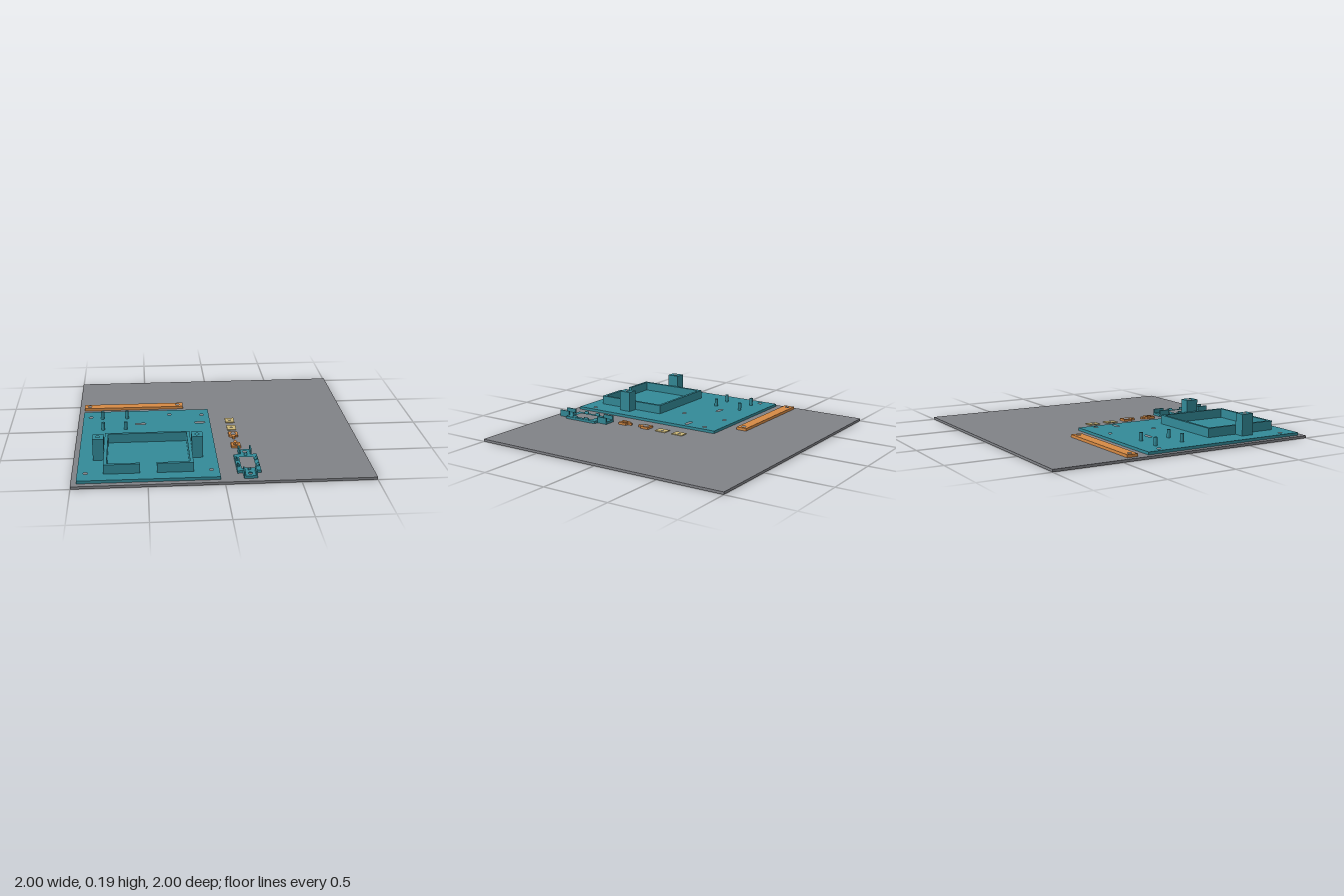
import * as THREE from 'three';

const BED = 0.018; // top of the bed
const PLATE = 0.038; // top of the parts lying on it

function rectPoints(x0, z0, x1, z1) {
  return [[x0, z0], [x1, z0], [x1, z1], [x0, z1]];
}
function ringPoints(x, z, rx, rz = rx, n = 12) {
  return Array.from({ length: n }, (_, i) => {
    const a = (i / n) * Math.PI * 2;
    return [x + rx * Math.cos(a), z + rz * Math.sin(a)];
  });
}
// rounded slot running along x
function slotPoints(x, z, half, r) {
  return ringPoints(x, z, r).map(([px, pz]) => [px + (px >= x - 1e-6 ? half : -half), pz]);
}
const vectors = (pts) => pts.map(([x, z]) => new THREE.Vector2(x, -z));

export function createModel() {
  const model = new THREE.Group();
  model.name = 'printBedLayout';
  const material = (name, color) => {
    const m = new THREE.MeshStandardMaterial({ color });
    m.name = name;
    return m;
  };
  const grey = material('bedGrey', 0x808287);
  const teal = material('teal', 0x338a98);
  const orange = material('orange', 0xd68a44);
  const tan = material('tan', 0xc9b577);

  // upright slab from a plan outline in x, z with holes
  function slab(name, mat, outline, holes, y0, y1, parent = model) {
    const shape = new THREE.Shape(vectors(outline));
    shape.holes = holes.map((h) => new THREE.Path(vectors(h)));
    const geo = new THREE.ExtrudeGeometry(shape, { depth: y1 - y0, bevelEnabled: false });
    geo.rotateX(-Math.PI / 2).translate(0, y0, 0);
    const mesh = new THREE.Mesh(geo, mat);
    mesh.name = name;
    parent.add(mesh);
    return mesh;
  }
  function group(name) {
    const g = new THREE.Group();
    g.name = name;
    model.add(g);
    return g;
  }

  slab('bed', grey, rectPoints(-1, -1, 1, 1), [], 0, BED);

  // base plate with screw holes and two cable slots
  const base = group('baseAssembly');
  const towerHoles = [[-0.83, 0.585], [-0.16, 0.585]];
  const screws = [[-0.908, -0.175], [-0.322, -0.198], [-0.08, -0.175], [-0.322, 0.163],
    [-0.908, 0.842], [-0.08, 0.842], ...towerHoles];
  slab('basePlate', teal, rectPoints(-0.963, -0.29, -0.027, 0.958), [
    ...screws.map(([x, z]) => ringPoints(x, z, 0.015)),
    slotPoints(-0.54, -0.02, 0.026, 0.013),
    slotPoints(-0.104, -0.02, 0.026, 0.013),
  ], BED, PLATE, base);

  // open frame with a gap in the front wall
  slab('frameWall', teal, [
    [-0.55, 0.862], [-0.79, 0.862], [-0.79, 0.307], [-0.198, 0.307], [-0.198, 0.862], [-0.44, 0.862],
    [-0.44, 0.84], [-0.22, 0.84], [-0.22, 0.329], [-0.768, 0.329], [-0.768, 0.84], [-0.55, 0.84],
  ], [], PLATE, 0.103, base);

  // screw towers either side of the frame
  [[-0.865, -0.79], [-0.198, -0.122]].forEach(([x0, x1], i) => {
    slab('screwTower', teal, rectPoints(x0, 0.54, x1, 0.632),
      [ringPoints(...towerHoles[i], 0.015)], PLATE, 0.19, base);
  });

  // locating pins
  for (const [x, z] of [[-0.82, -0.143], [-0.64, -0.143], [-0.81, 0.075], [-0.648, 0.075]]) {
    slab('pin', teal, ringPoints(x, z, 0.013), [], PLATE, 0.095, base);
  }

  // long strap
  slab('strap', orange, rectPoints(-0.963, -0.45, -0.213, -0.37),
    [ringPoints(-0.925, -0.41, 0.015), ringPoints(-0.252, -0.41, 0.015)], BED, PLATE);

  // thin spacers
  for (const z of [-0.086, 0.062]) {
    slab('spacer', tan, rectPoints(0.09, z - 0.044, 0.155, z + 0.044),
      [ringPoints(0.1225, z, 0.01)], BED, 0.024);
  }

  // two facing tabs with oval holes
  for (const [z, s] of [[0.208, 1], [0.402, -1]]) {
    const outline = [[0.09, -0.038], [0.155, -0.038], [0.155, 0.028], [0.135, 0.036], [0.131, 0.064],
      [0.114, 0.064], [0.11, 0.036], [0.09, 0.028]].map(([x, d]) => [x, z + s * d]);
    slab('ovalTab', orange, outline, [ringPoints(0.1225, z, 0.018, 0.025)], BED, 0.034);
  }

  // bracket: window frame with a channel at either end
  const bracket = group('bracket');
  slab('bracketFrame', teal, rectPoints(0.09, 0.594, 0.248, 0.87),
    [rectPoints(0.122, 0.645, 0.218, 0.824)], BED, 0.036, bracket);
  for (const [z0, z1, hole] of [[0.51, 0.594, 0.553], [0.87, 0.956, 0.912]]) {
    slab('endTab', teal, rectPoints(0.126, z0, 0.214, z1),
      [ringPoints(0.17, hole, 0.015)], BED, 0.036, bracket);
    for (const x of [0.126, 0.204]) {
      slab('endWall', teal, rectPoints(x, z0, x + 0.01, z1), [], 0.036, 0.066, bracket);
    }
  }

  // small wedge catches around the window
  function wedge(x, z, turn, width) {
    const profile = new THREE.Shape([[-0.009, 0], [0.009, 0], [-0.005, 0.016], [-0.009, 0.016]]
      .map(([a, b]) => new THREE.Vector2(a, b)));
    const geo = new THREE.ExtrudeGeometry(profile, { depth: width, bevelEnabled: false });
    geo.translate(0, 0, -width / 2);
    const mesh = new THREE.Mesh(geo, teal);
    mesh.name = 'catch';
    mesh.position.set(x, 0.036, z);
    mesh.rotation.y = turn;
    bracket.add(mesh);
  }
  for (const z of [0.68, 0.787]) {
    wedge(0.104, z, 0, 0.036);
    wedge(0.234, z, Math.PI, 0.036);
  }
  wedge(0.17, 0.615, -Math.PI / 2, 0.02);
  wedge(0.17, 0.85, Math.PI / 2, 0.02);

  return model;
}
